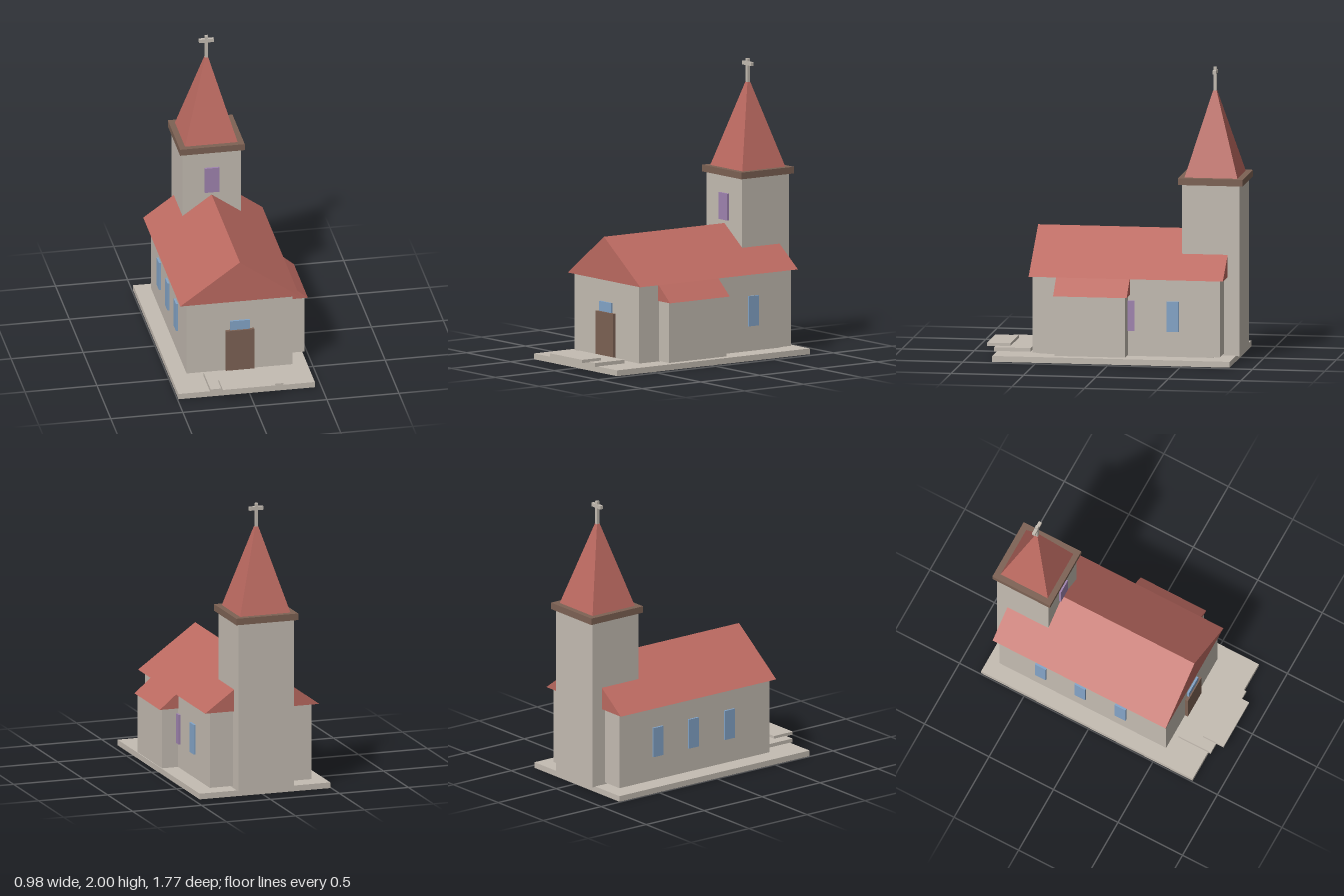
import * as THREE from 'three';

const paint = (name, color) => {
  const m = new THREE.MeshStandardMaterial({ color });
  m.name = name;
  return m;
};

export function createModel() {
  const stone = paint('stone', 0xc4bcb2);
  const tile = paint('roofTile', 0xbc6a61);
  const wood = paint('darkWood', 0x7d6254);
  const blue = paint('blueGlass', 0x84a5c8);
  const violet = paint('violetGlass', 0xa084b0);

  const model = new THREE.Group();
  model.name = 'church';

  const add = (name, geometry, material) => {
    const mesh = new THREE.Mesh(geometry, material);
    mesh.name = name;
    model.add(mesh);
    return mesh;
  };
  // Box given by its lower and upper limits on each axis
  const block = (name, material, x0, x1, y0, y1, z0, z1) =>
    add(name, new THREE.BoxGeometry(x1 - x0, y1 - y0, z1 - z0), material)
      .position.set((x0 + x1) / 2, (y0 + y1) / 2, (z0 + z1) / 2);
  // Solid roof with a triangular section running along z
  const prism = (name, points, z0, z1) => {
    const shape = new THREE.Shape(points.map(([x, y]) => new THREE.Vector2(x, y)));
    add(name, new THREE.ExtrudeGeometry(shape, { depth: z1 - z0, bevelEnabled: false }), tile)
      .position.z = z0;
  };

  // Ground slab, entrance steps and footing
  block('baseSlab', stone, -0.493, 0.454, 0, 0.04, -0.836, 0.804);
  block('lowerStep', stone, -0.274, 0.233, 0.037, 0.065, 0.575, 0.826);
  block('upperStep', stone, -0.2, 0.164, 0.062, 0.084, 0.724, 0.885);
  block('footing', stone, -0.34, 0.3, 0.04, 0.053, -0.7, 0.5);

  // Nave and side annex
  block('naveWalls', stone, -0.386, 0.35, 0.053, 0.583, -0.753, 0.54);
  prism('naveRoof', [[-0.434, 0.583], [0.394, 0.583], [-0.02, 0.881]], -0.779, 0.562);
  block('annexWalls', stone, 0.345, 0.466, 0.053, 0.467, -0.117, 0.371);
  prism('annexRoof', [[0.349, 0.467], [0.487, 0.467], [0.349, 0.583]], -0.13, 0.378);

  // Door with the window above it
  block('door', wood, -0.116, 0.081, 0.053, 0.36, 0.54, 0.562);
  block('doorWindow', blue, -0.085, 0.05, 0.362, 0.43, 0.54, 0.554);

  // Side windows
  for (const z of [-0.428, -0.122, 0.19])
    block('rightWindow', blue, -0.4, -0.386, 0.222, 0.43, z - 0.042, z + 0.042);
  block('leftWindow', blue, 0.35, 0.364, 0.222, 0.43, -0.47, -0.386);
  block('leftVioletWindow', violet, 0.35, 0.364, 0.222, 0.43, -0.164, -0.08);

  // Bell tower
  block('towerWalls', stone, -0.222, 0.183, 0.037, 1.213, -0.86, -0.462);
  block('towerWindow', violet, -0.069, 0.032, 0.905, 1.09, -0.462, -0.447);
  block('towerCornice', wood, -0.243, 0.206, 1.212, 1.258, -0.885, -0.438);
  const spire = new THREE.CylinderGeometry(0.012 * Math.SQRT2, 0.183 * Math.SQRT2, 0.58, 4, 1)
    .rotateY(Math.PI / 4).toNonIndexed();
  spire.computeVertexNormals();
  add('spire', spire, tile).position.set(-0.019, 1.547, -0.66);

  // Cross on the spire
  block('crossPost', stone, -0.029, -0.009, 1.83, 2, -0.672, -0.65);
  block('crossArm', stone, -0.069, 0.032, 1.952, 1.977, -0.6725, -0.6495);

  return model;
}
